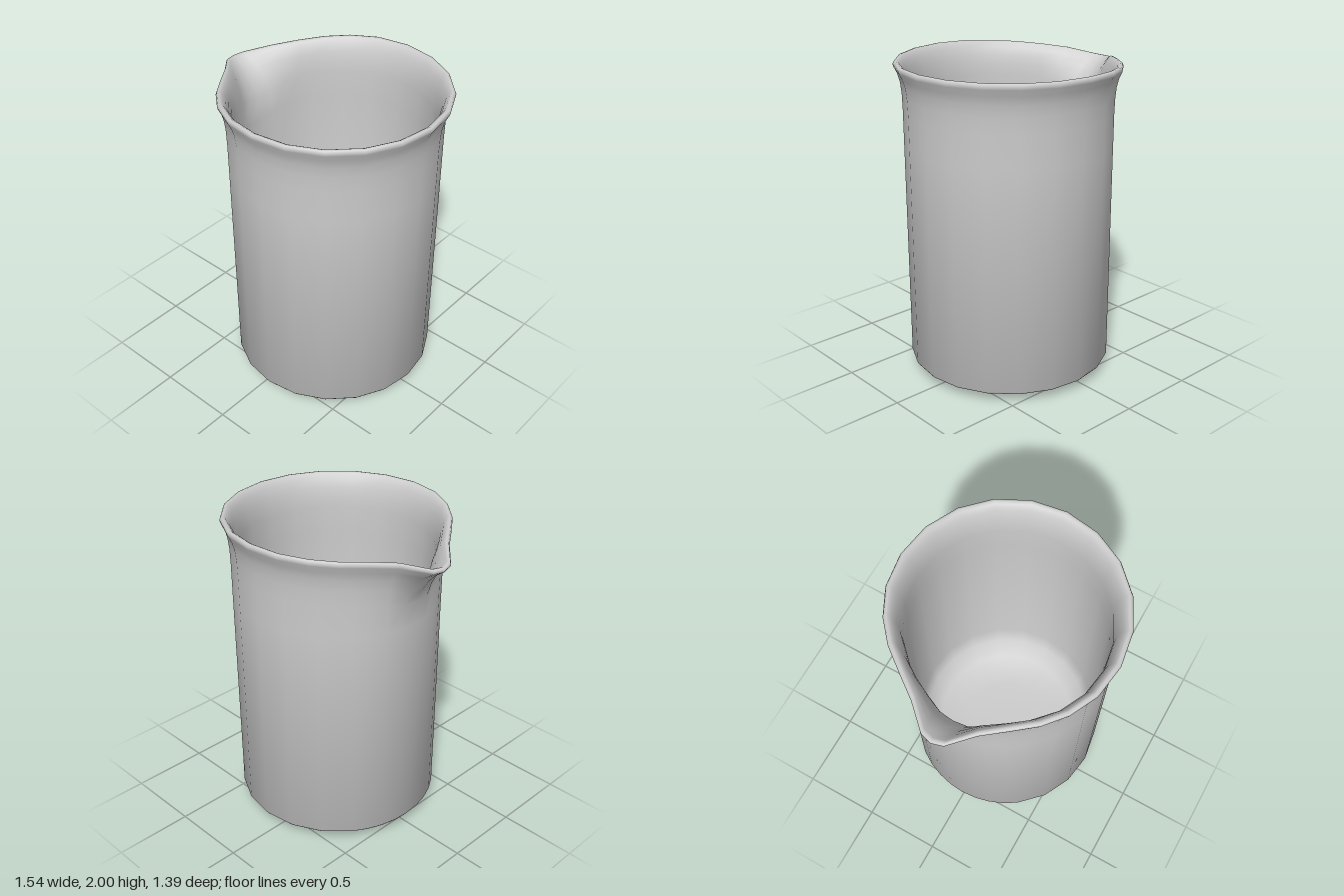
import * as THREE from 'three';
import { toCreasedNormals } from 'three/addons/utils/BufferGeometryUtils.js';

const CX = 0.075;   // axis of the cylinder
const R = 0.645;    // outer wall radius
const RIM = 0.695;  // flared rim radius

// Spout columns: angle from -x in degrees, rim x, rim z, amount of spout
const SPOUT = [
  [0, -0.775, 0, 1],
  [9, -0.757, 0.07, 0.95],
  [18, -0.63, 0.205, 0.52],
  [27, -0.53, 0.34, 0.35],
  [36, -0.425, 0.475, 0.24],
  [54, -0.3, 0.583, 0.14],
  [72, -0.135, 0.665, 0.05],
];

// Wall rows: radius of the straight wall, inset, flare and height on the
// round side, flare and height at the spout
const ROWS = [
  // underside
  [0, 0, 0, 0, 0, 0],
  [0.25, 0, 0, 0.006, 0, 0.006],
  [0.42, 0, 0, 0.024, 0, 0.024],
  [0.58, 0, 0, 0.052, 0, 0.052],
  [0.635, 0, 0, 0.066, 0, 0.066],
  // outer wall and flare
  [R, 0, 0, 0.08, 0, 0.08],
  [R, 0, 0, 1.5, 0, 1.48],
  [R, 0, 0, 1.7, 0.05, 1.63],
  [R, 0, 0.05, 1.8, 0.22, 1.72],
  [R, 0, 0.2, 1.87, 0.42, 1.785],
  [R, 0, 0.5, 1.925, 0.68, 1.84],
  [R, 0, 0.9, 1.965, 0.96, 1.88],
  // rounded lip
  [R, 0, 1, 1.982, 1, 1.892],
  [R, 0.006, 1, 1.997, 1, 1.905],
  [R, 0.02, 1, 2, 1, 1.908],
  [R, 0.034, 1, 1.992, 1, 1.9],
  // inner wall
  [R, 0.042, 0.75, 1.96, 0.85, 1.875],
  [R, 0.042, 0.4, 1.91, 0.6, 1.835],
  [R, 0.042, 0.15, 1.85, 0.35, 1.775],
  [R, 0.042, 0.03, 1.78, 0.14, 1.7],
  [R, 0.042, 0, 1.6, 0, 1.55],
  [R, 0.045, 0, 0.3, 0, 0.3],
  // inner floor
  [0.57, 0, 0, 0.17, 0, 0.17],
  [0.47, 0, 0, 0.105, 0, 0.105],
  [0.25, 0, 0, 0.085, 0, 0.085],
  [0, 0, 0, 0.08, 0, 0.08],
];

function makeColumns() {
  const half = SPOUT.map(([deg, x, z, s]) => ({ a: THREE.MathUtils.degToRad(deg), x, z, s }));
  for (let deg = 90; deg <= 180; deg += 18) {
    const a = THREE.MathUtils.degToRad(deg);
    half.push({ a, x: CX - RIM * Math.cos(a), z: RIM * Math.sin(a), s: 0 });
  }
  const mirrored = half.slice(1, -1).reverse().map(c => ({ a: -c.a, x: c.x, z: -c.z, s: c.s }));
  return [...half, ...mirrored];
}

// Point of one row on one column: wall circle blended towards the rim outline
function wallPoint([r, inset, flare, y, flareS, yS], col) {
  const { lerp } = THREE.MathUtils;
  const w = lerp(flare, flareS, col.s);
  let x = lerp(-r * Math.cos(col.a), col.x - CX, w);
  let z = lerp(r * Math.sin(col.a), col.z, w);
  const d = Math.hypot(x, z);
  const k = d > 0 ? (d - inset) / d : 0;
  return [CX + x * k, lerp(y, yS, col.s), z * k];
}

function beakerGeometry() {
  const cols = makeColumns();
  const n = cols.length;
  const positions = [];
  const index = [];
  ROWS.forEach(row => cols.forEach(col => positions.push(...wallPoint(row, col))));
  for (let j = 0; j < ROWS.length - 1; j++) {
    for (let i = 0; i < n; i++) {
      const i2 = (i + 1) % n;
      const a = j * n + i, b = j * n + i2, c = b + n, d = a + n;
      if (ROWS[j][0] > 0) index.push(a, b, c);
      if (ROWS[j + 1][0] > 0) index.push(a, c, d);
      else index.push(a, b, d);
    }
  }
  // the last row is a single point, so drop its doubled triangles
  const clean = [];
  for (let t = 0; t < index.length; t += 3) {
    const tri = index.slice(t, t + 3);
    const last = tri.filter(v => v >= (ROWS.length - 1) * n).length;
    const first = tri.filter(v => v < n).length;
    if (last < 2 && first < 2) clean.push(...tri);
  }
  const key = new Set();
  const unique = [];
  for (let t = 0; t < clean.length; t += 3) {
    const tri = clean.slice(t, t + 3).map(v => (v >= (ROWS.length - 1) * n ? (ROWS.length - 1) * n : v));
    const id = tri.join();
    if (!key.has(id)) { key.add(id); unique.push(...tri); }
  }
  const geo = new THREE.BufferGeometry();
  geo.setAttribute('position', new THREE.Float32BufferAttribute(positions, 3));
  geo.setIndex(unique);
  return toCreasedNormals(geo, 1.1);
}

export function createModel() {
  const group = new THREE.Group();
  group.name = 'beaker';
  const body = new THREE.Mesh(beakerGeometry(), new THREE.MeshStandardMaterial({ color: 0xcccccc }));
  body.name = 'beakerBodyWithSpout';
  group.add(body);
  return group;
}
